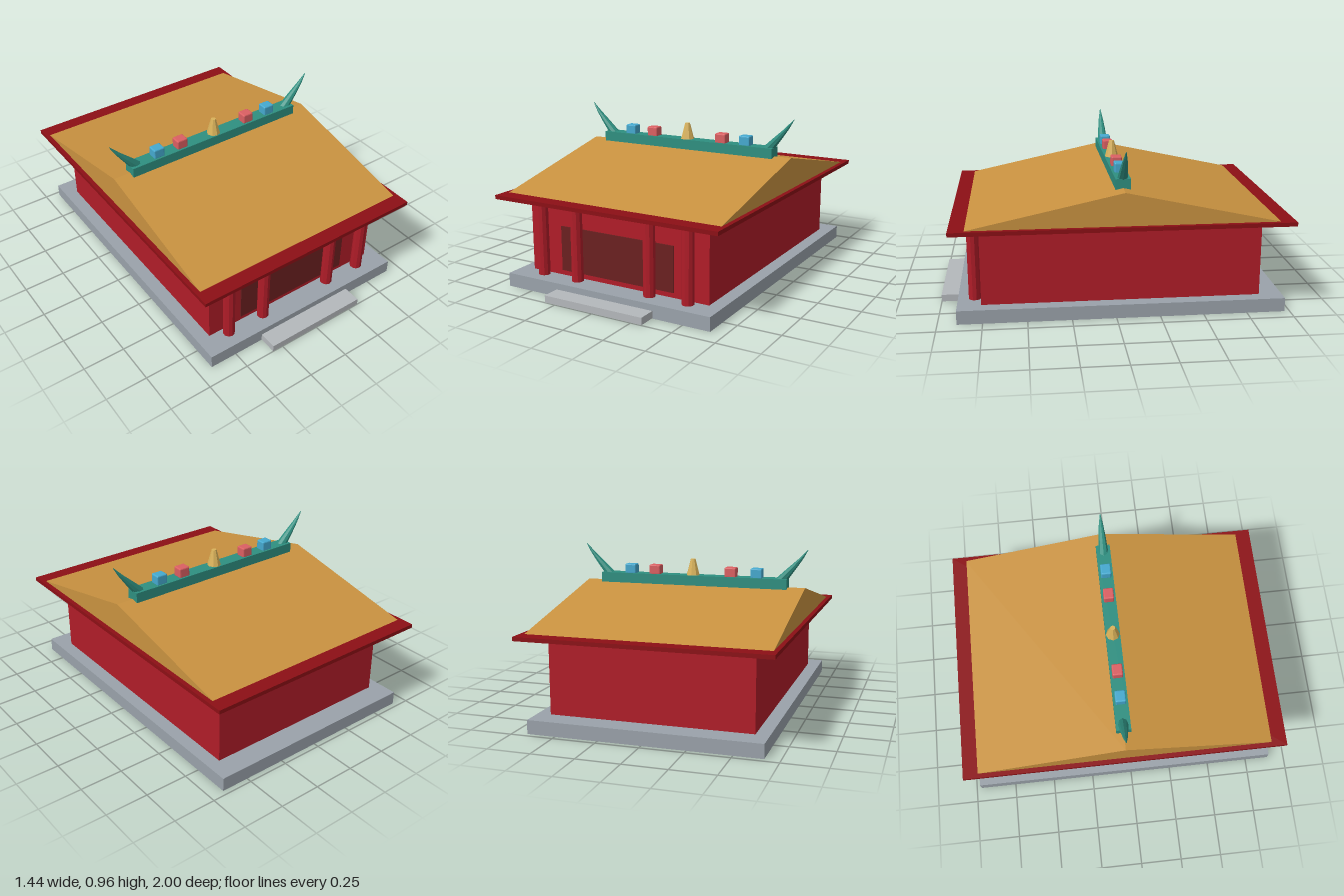
import * as THREE from 'three';
import { RoundedBoxGeometry } from 'three/addons/geometries/RoundedBoxGeometry.js';

const mat = (color) => new THREE.MeshStandardMaterial({ color, flatShading: true });
const RED = mat(0xb01c28), DARK_RED = mat(0x8c0f15), DOOR = mat(0x6a2020);
const STONE = mat(0x9aa2aa), STEP = mat(0xb4b8bb), TILE = mat(0xc99240);
const TEAL = mat(0x2e8f80), GOLD = mat(0xd9b25a), BLUE = mat(0x45a9cf), CORAL = mat(0xdb5f62);
const RIDGE_Z = -0.042;

export function createModel() {
  const model = new THREE.Group();
  const add = (name, geometry, material) => {
    const mesh = new THREE.Mesh(geometry, material);
    mesh.name = name;
    model.add(mesh);
    return mesh;
  };
  // Box centred on x, given its width and its y and z ranges
  const slab = (name, width, y0, y1, z0, z1, material) =>
    add(name, new THREE.BoxGeometry(width, y1 - y0, z1 - z0), material)
      .position.set(0, (y0 + y1) / 2, (z0 + z1) / 2);

  slab('plinth', 1.33, 0, 0.08, -0.97, 0.893, STONE);
  slab('frontStep', 0.636, 0.002, 0.043, 0.86, 1, STEP);
  slab('hall', 1.174, 0.08, 0.526, -0.837, 0.757, RED);
  slab('doorPanel', 0.746, 0.11, 0.375, 0.74, 0.764, DOOR);
  slab('eaves', 1.436, 0.525, 0.548, -1, 0.918, DARK_RED);
  slab('ridgeBeam', 1.174, 0.72, 0.787, RIDGE_Z - 0.043, RIDGE_Z + 0.043, TEAL);

  // Gabled roof: triangle in z and y, extruded along x
  const gable = new THREE.Shape();
  gable.moveTo(RIDGE_Z - 0.875, 0.547);
  gable.lineTo(RIDGE_Z + 0.875, 0.547);
  gable.lineTo(RIDGE_Z, 0.736);
  const roof = new THREE.ExtrudeGeometry(gable, { depth: 1.384, bevelEnabled: false });
  roof.rotateY(-Math.PI / 2).translate(0.692, 0, 0);
  add('roof', roof, TILE);

  // Front columns
  for (const x of [-0.48, -0.24, 0.24, 0.48]) {
    add('column', new THREE.CylinderGeometry(0.035, 0.035, 0.446, 10), RED)
      .position.set(x, 0.303, 0.796);
  }

  // Ridge ornaments
  for (const side of [-1, 1]) {
    for (const [x, material] of [[0.4, BLUE], [0.24, CORAL]]) {
      add('ridgeBlock', new RoundedBoxGeometry(0.07, 0.062, 0.062, 2, 0.008), material)
        .position.set(side * x, 0.812, RIDGE_Z);
    }
    const horn = add('ridgeHorn', hornGeometry(), TEAL);
    horn.position.z = RIDGE_Z;
    if (side < 0) horn.rotation.y = Math.PI;
  }
  add('finial', new THREE.CylinderGeometry(0.015, 0.043, 0.105, 8), GOLD)
    .position.set(0, 0.833, RIDGE_Z);

  return model;
}

// Upswept horn: a tapering loft through [x, y, radius x, radius z] sections
function hornGeometry() {
  const sections = [
    [0.547, 0.78, 0.039, 0.03],
    [0.606, 0.845, 0.027, 0.023],
    [0.66, 0.905, 0.014, 0.014],
    [0.704, 0.962, 0.002, 0.002],
  ];
  const sides = 8, points = [], index = [];
  for (const [x, y, rx, rz] of sections) {
    for (let i = 0; i < sides; i++) {
      const a = (i / sides) * Math.PI * 2;
      points.push(x + rx * Math.cos(a), y, rz * Math.sin(a));
    }
  }
  for (let s = 0; s < sections.length - 1; s++) {
    for (let i = 0; i < sides; i++) {
      const a = s * sides + i, b = s * sides + ((i + 1) % sides);
      index.push(a, a + sides, b, b, a + sides, b + sides);
    }
  }
  // End caps
  const top = (sections.length - 1) * sides;
  for (let i = 1; i < sides - 1; i++) {
    index.push(0, i, i + 1, top, top + i + 1, top + i);
  }
  const geometry = new THREE.BufferGeometry();
  geometry.setAttribute('position', new THREE.Float32BufferAttribute(points, 3));
  geometry.setIndex(index);
  geometry.computeVertexNormals();
  return geometry;
}
